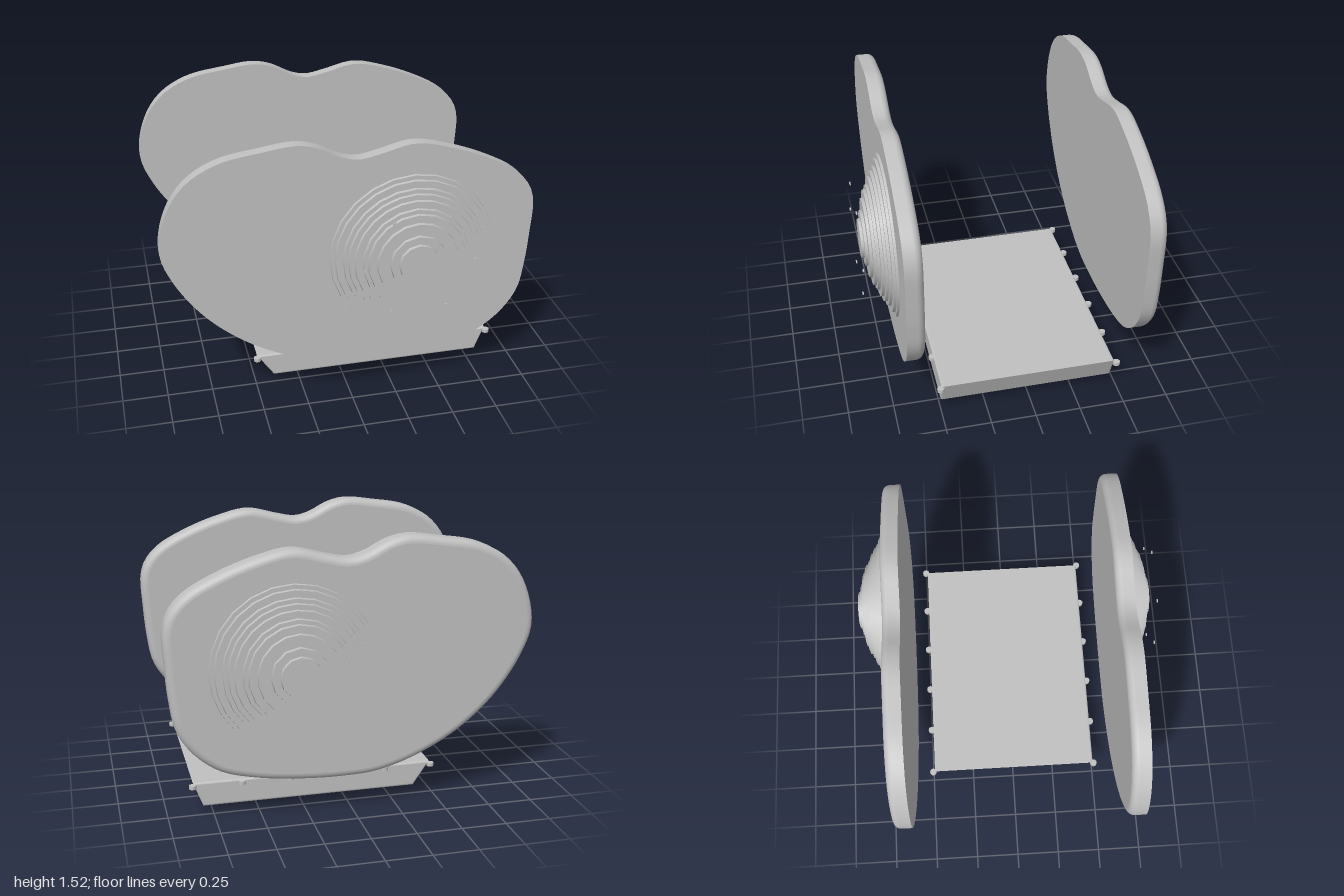
import * as THREE from 'three';

const grey = new THREE.MeshStandardMaterial({ color: 0xc0c0c0 });
grey.name = 'castGrey';

// Cover outline, clockwise from the far left
const OUTLINE = [
  [-1, 1], [-0.95, 1.225], [-0.845, 1.37], [-0.685, 1.46], [-0.47, 1.5], [-0.285, 1.52],
  [-0.175, 1.495], [-0.055, 1.435], [0.035, 1.415], [0.145, 1.435], [0.33, 1.475], [0.52, 1.435],
  [0.73, 1.355], [0.89, 1.265], [0.97, 1.175], [1, 1.08], [0.995, 0.89], [0.98, 0.7],
  [0.95, 0.54], [0.865, 0.41], [0.73, 0.305], [0.545, 0.25], [0.28, 0.217], [0.065, 0.21],
  [-0.125, 0.222], [-0.34, 0.287], [-0.58, 0.415], [-0.79, 0.6], [-0.94, 0.82],
];
const HUB = { x: 0.33, y: 0.855 };

function mesh(name, geometry, x = 0, y = 0, z = 0) {
  const m = new THREE.Mesh(geometry, grey);
  m.name = name;
  m.position.set(x, y, z);
  return m;
}

// Flat plate with a sharp front edge and a rounded rear edge
function plateGeometry(depth = 0.1, radius = 0.04, n = 120) {
  const path = OUTLINE.map(([x, y]) => new THREE.Vector3(x, y, 0)).reverse();
  const curve = new THREE.CatmullRomCurve3(path, true);
  const rings = [[0, 0]];
  for (let k = 0; k <= 6; k++) {
    const a = (k / 6) * Math.PI / 2;
    rings.push([radius * (1 - Math.cos(a)), -depth + radius * (1 - Math.sin(a))]);
  }
  const ring = ([inset, z]) => Array.from({ length: n }, (_, i) => {
    const p = curve.getPointAt(i / n), t = curve.getTangentAt(i / n);
    return new THREE.Vector3(p.x - t.y * inset, p.y + t.x * inset, z);
  });
  const loops = rings.map(ring);
  const points = loops.flat(), index = [];
  for (let j = 0; j < loops.length - 1; j++) {
    for (let i = 0; i < n; i++) {
      const a = j * n + i, b = j * n + (i + 1) % n;
      index.push(a, a + n, b, b, a + n, b + n);
    }
  }
  // Front and rear faces use their own corners so their shading stays flat
  for (const front of [true, false]) {
    const loop = front ? loops[0] : loops[loops.length - 1];
    const start = points.length;
    points.push(...loop);
    const flat = loop.map((p) => new THREE.Vector2(p.x, p.y));
    for (const [a, b, c] of THREE.ShapeUtils.triangulateShape(flat, [])) {
      index.push(start + a, start + (front ? b : c), start + (front ? c : b));
    }
  }
  const g = new THREE.BufferGeometry().setFromPoints(points);
  g.setIndex(index);
  g.computeVertexNormals();
  return g;
}

// Stack of shrinking discs on the hub axis; dir is +1 to the front, -1 to the rear
function steppedHub(name, z, height, dir) {
  const hub = new THREE.Group();
  hub.name = name;
  const radii = [0.45, 0.425, 0.385, 0.36, 0.33, 0.29, 0.265, 0.22, 0.155, 0.11];
  const step = height / radii.length;
  radii.forEach((r, i) => {
    const sides = r > 0.3 ? 24 : r > 0.2 ? 18 : 12;
    const disc = new THREE.CylinderGeometry(r - 0.003, r, step, sides);
    disc.rotateX(dir * Math.PI / 2);
    hub.add(mesh('hubStep', disc, HUB.x, HUB.y, z + dir * step * (i + 0.5)));
  });
  return hub;
}

export function createModel() {
  const model = new THREE.Group();
  model.name = 'coversAndPan';

  // Two matching side covers
  const plate = plateGeometry();
  model.add(mesh('frontCover', plate, 0, 0, 0.682));
  model.add(mesh('rearCover', plate, 0, 0, -0.572));
  model.add(steppedHub('frontHub', 0.68, 0.153, 1));
  model.add(steppedHub('rearHub', -0.67, 0.18, -1));

  // Six small screws floating before the front hub
  const screw = new THREE.CylinderGeometry(0.01, 0.01, 0.007, 8).rotateX(Math.PI / 2);
  for (let i = 0; i < 6; i++) {
    const a = i * Math.PI / 3;
    model.add(mesh('hubScrew', screw, HUB.x + 0.3 * Math.cos(a), HUB.y + 0.3 * Math.sin(a), 0.847));
  }

  // Tapered pan
  const b = 0.012;
  const profile = new THREE.Shape([
    new THREE.Vector2(-0.39, 0.04 + b), new THREE.Vector2(0.795, 0.04 + b),
    new THREE.Vector2(0.843, 0.182 - b), new THREE.Vector2(-0.475, 0.182 - b),
  ]);
  const pan = new THREE.ExtrudeGeometry(profile, {
    depth: 0.98 - 2 * b, bevelEnabled: true, bevelSize: b, bevelThickness: b, bevelSegments: 3,
  });
  model.add(mesh('pan', pan, 0, 0, -0.485 + b));

  // Pan bolts along both long edges
  const bolt = new THREE.CylinderGeometry(0.02, 0.02, 0.02, 12);
  for (const z of [0.5, -0.495]) {
    for (let i = 0; i < 6; i++) model.add(mesh('panBolt', bolt, -0.49 + 0.27 * i, 0.165, z));
  }

  // Hexagonal drain plug
  const plug = new THREE.CylinderGeometry(0.043, 0.043, 0.05, 6);
  model.add(mesh('drainPlug', plug, 0.187, 0.025, 0.005));
  return model;
}
